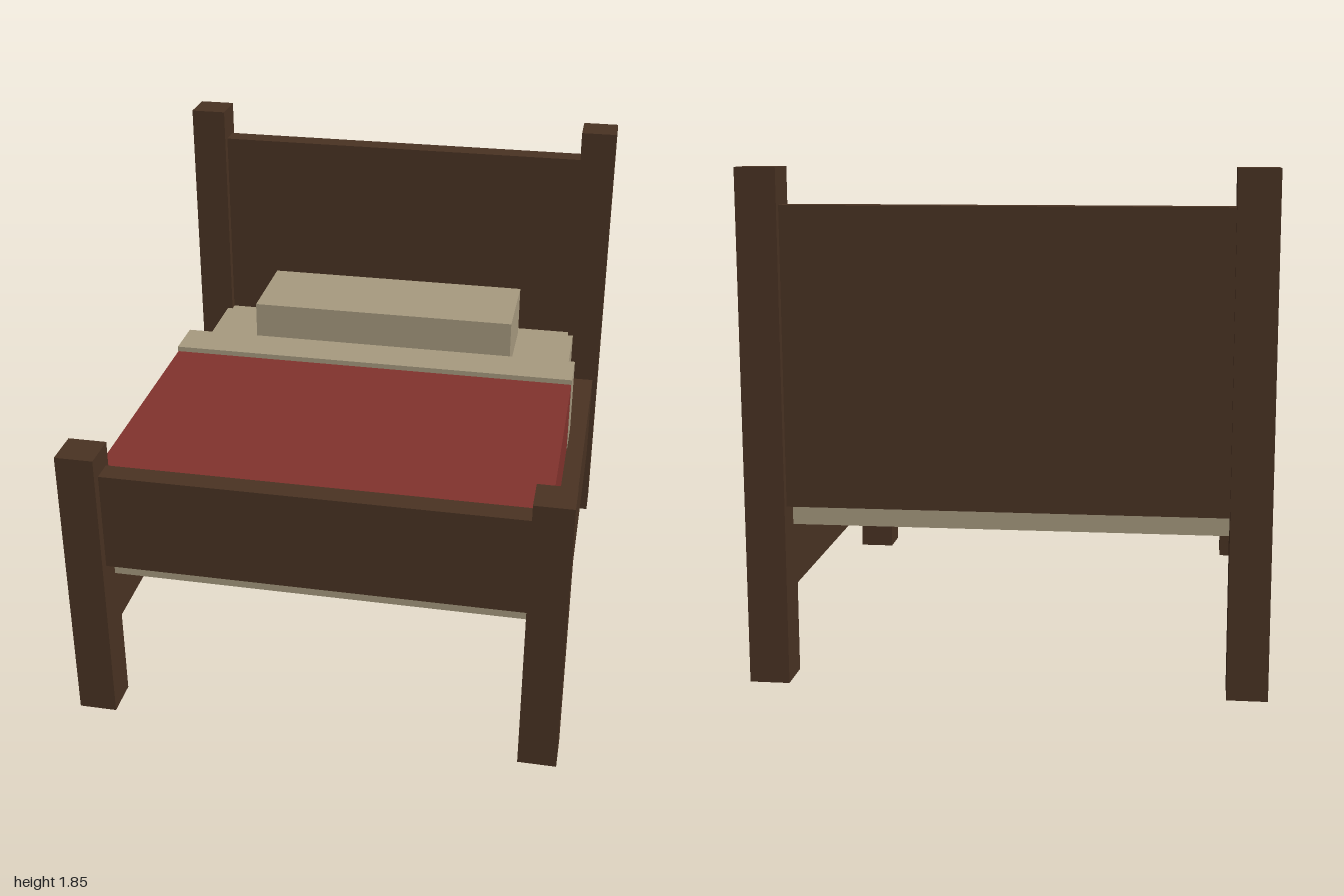
import * as THREE from 'three';

const wood = new THREE.MeshStandardMaterial({ name: 'darkWood', color: 0x4a3323, side: THREE.DoubleSide });
const linen = new THREE.MeshStandardMaterial({ name: 'creamLinen', color: 0xa89b80, side: THREE.DoubleSide });
const red = new THREE.MeshStandardMaterial({ name: 'redBlanket', color: 0x82332d, side: THREE.DoubleSide });

// Box faces in the order BoxGeometry writes them
const FACES = ['left', 'right', 'top', 'bottom', 'front', 'back'];

// Box given by its ranges on each axis, with some faces left out
function box(name, material, [x0, x1], [y0, y1], [z0, z1], open = []) {
  const geometry = new THREE.BoxGeometry(x1 - x0, y1 - y0, z1 - z0);
  const index = Array.from(geometry.index.array);
  geometry.setIndex(index.filter((_, i) => !open.includes(FACES[Math.floor(i / 6)])));
  geometry.clearGroups();
  const mesh = new THREE.Mesh(geometry, material);
  mesh.name = name;
  mesh.position.set((x0 + x1) / 2, (y0 + y1) / 2, (z0 + z1) / 2);
  return mesh;
}

export function createModel() {
  const bed = new THREE.Group();
  bed.name = 'bed';

  // Corner posts and side rails, mirrored left and right
  for (const [side, s] of [['left', 1], ['right', -1]]) {
    const span = (a, b) => (s > 0 ? [a, b] : [-b, -a]);
    bed.add(
      box(side + 'HeadPost', wood, span(0.785, 0.93), [0, 1.85], [-1, -0.853], ['bottom']),
      box(side + 'FootPost', wood, span(0.785, 0.93), [0, 1.12], [0.853, 1], ['bottom']),
      box(side + 'SideRail', wood, span(0.81, 0.91), [0.305, 0.69], [-0.855, 0.855]),
    );
  }

  // End boards
  bed.add(
    box('headboard', wood, [-0.787, 0.787], [0.65, 1.72], [-0.972, -0.887]),
    box('footboard', wood, [-0.787, 0.787], [0.65, 1.035], [0.877, 0.962]),
  );

  // Bedding: hollow covers open underneath
  bed.add(
    box('mattress', linen, [-0.807, 0.807], [0.565, 0.905], [-0.89, 0.882], ['bottom']),
    box('blanket', red, [-0.84, 0.84], [0.66, 0.99], [-0.19, 0.882], ['bottom', 'back']),
    box('sheetFold', linen, [-0.842, 0.842], [0.65, 1.01], [-0.368, -0.192], ['bottom']),
    box('pillow', linen, [-0.56, 0.56], [0.905, 1.12], [-0.84, -0.453], ['bottom']),
  );
  return bed;
}
